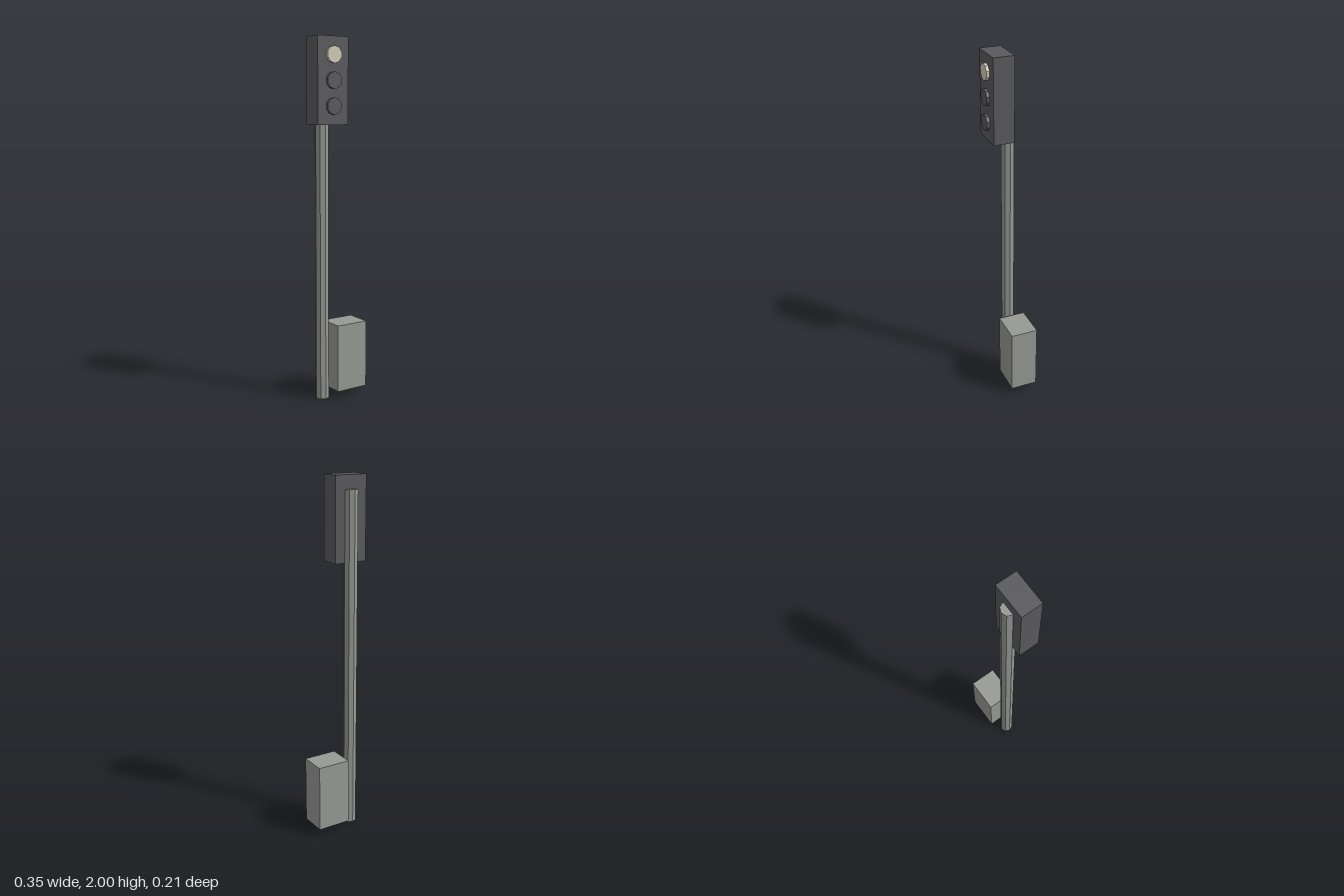
import * as THREE from 'three';

export function createModel() {
  const group = new THREE.Group();
  const mat = (name, color) => {
    const m = new THREE.MeshStandardMaterial({ color, flatShading: true });
    m.name = name;
    return m;
  };
  const grey = mat('metal grey', 0x969994);
  const dark = mat('dark grey', 0x5a595d);
  const cream = mat('lit cream', 0xd0cab6);

  const add = (name, geometry, material, x, y, z) => {
    const mesh = new THREE.Mesh(geometry, material);
    mesh.name = name;
    mesh.position.set(x, y, z);
    group.add(mesh);
    return mesh;
  };

  const poleX = -0.078;

  // Octagonal pole, half sunk into the back of the signal head
  add('pole', new THREE.CylinderGeometry(0.038, 0.038, 1.925, 8), grey, poleX, 0.9625, -0.028);

  // Signal head
  add('signalHead', new THREE.BoxGeometry(0.191, 0.46, 0.115), dark, poleX, 1.77, 0.0295);

  // Ten-sided lamps, only the top one lit
  const lampGeometry = new THREE.CylinderGeometry(0.0455, 0.0455, 0.026, 10).rotateX(Math.PI / 2);
  [['topLamp', 1.905, cream], ['middleLamp', 1.772, dark], ['bottomLamp', 1.638, dark]]
    .forEach(([name, y, material]) => add(name, lampGeometry, material, poleX, y, 0.09));

  // Control cabinet beside the pole
  add('controlCabinet', new THREE.BoxGeometry(0.192, 0.383, 0.154), grey, 0.076, 0.2335, -0.029);

  return group;
}
